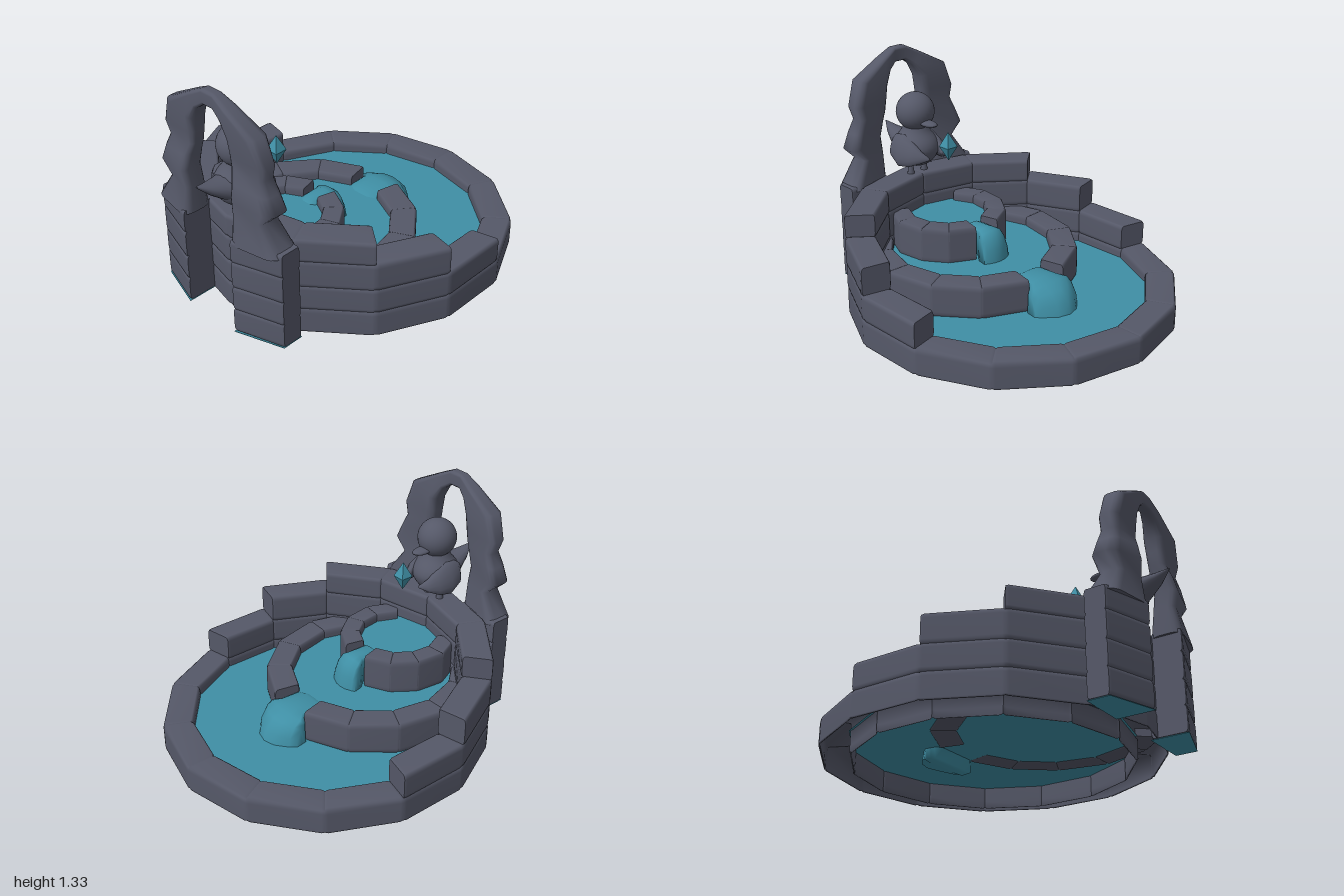
import * as THREE from 'three';

const slate = new THREE.MeshStandardMaterial({ color: 0x555868, side: THREE.DoubleSide });
const aqua = new THREE.MeshStandardMaterial({ color: 0x3f8fa5, side: THREE.DoubleSide });
const aquaFlat = new THREE.MeshStandardMaterial({ color: 0x3f8fa5, flatShading: true });

// Skin a row of closed loops of [x, y, z] points and, if asked, cap both ends.
function loft(loops, capped = true) {
  const n = loops[0].length, pos = loops.flat(2), idx = [];
  for (let i = 0; i < loops.length - 1; i++) {
    for (let j = 0; j < n; j++) {
      const a = i * n + j, b = i * n + (j + 1) % n;
      idx.push(a, b, b + n, a, b + n, a + n);
    }
  }
  for (const end of capped ? [0, loops.length - 1] : []) {
    const loop = loops[end], start = pos.length / 3;
    pos.push(...loop.flat());
    pos.push(...[0, 1, 2].map(k => loop.reduce((s, p) => s + p[k], 0) / n));
    for (let j = 0; j < n; j++) {
      const a = start + j, b = start + (j + 1) % n;
      idx.push(start + n, ...(end ? [a, b] : [b, a]));
    }
  }
  // turn the faces outwards if the volume comes out negative
  const v = i => new THREE.Vector3().fromArray(pos, i * 3);
  let volume = 0;
  for (let i = 0; i < idx.length; i += 3) volume += v(idx[i]).dot(v(idx[i + 1]).cross(v(idx[i + 2])));
  if (volume < 0) idx.reverse();
  const g = new THREE.BufferGeometry();
  g.setAttribute('position', new THREE.Float32BufferAttribute(pos, 3));
  g.setIndex(idx);
  g.computeVertexNormals();
  return g;
}

// Rounded rectangle in the unit square, cu and cv being the corner sizes.
function roundedSquare(cu, cv) {
  const pts = [];
  [[1, 1], [0, 1], [0, 0], [1, 0]].forEach(([u, v], q) => {
    for (let k = 0; k < 4; k++) {
      const t = (q + k / 3) * Math.PI / 2;
      pts.push([u + cu * (Math.cos(t) + (u ? -1 : 1)), v + cv * (Math.sin(t) + (v ? -1 : 1))]);
    }
  });
  return pts;
}

const lerp = THREE.MathUtils.lerp;
const solidSection = roundedSquare(0.09, 0.17);
// Channel open below, its inner lip (v below 0) reaching the ground
const hollowSection = [[1, 0], [1, 0.06], [1, 0.8], [0.975, 0.94], [0.91, 1], [0.09, 1], [0.025, 0.94], [0, 0.8],
  [0, 0.06], [0, -0.2], [0.04, -0.2], [0.04, 0.06], [0.04, 0.88], [0.96, 0.88], [0.96, 0.06], [0.96, 0]];

// Worn stone block on a footprint of four [x, z] corners.
function block(in0, in1, out0, out1, y0, y1, hollow = false) {
  const section = hollow ? hollowSection : solidSection;
  const loops = [[0, 0.95], [0.04, 1], [0.96, 1], [1, 0.95]].map(([t, s]) => section.map(([u, v]) => {
    const a = 0.5 + (u - 0.5) * s, b = 0.5 + (v - 0.5) * s;
    const at = k => lerp(lerp(in0[k], in1[k], t), lerp(out0[k], out1[k], t), a);
    return [at(0), lerp(y0, y1, b), at(1)];
  }));
  return loft(loops, !hollow);
}

export function createModel() {
  const model = new THREE.Group();
  const add = (name, geometry, material = slate, parent = model) => {
    const mesh = new THREE.Mesh(geometry, material);
    mesh.name = name;
    parent.add(mesh);
    return mesh;
  };

  // Curved course of blocks; angles in degrees are measured from -z.
  function course(name, cz, rIn, rOut, angles, y0, y1, hollow) {
    const group = new THREE.Group();
    group.name = name;
    model.add(group);
    const p = (deg, r) => {
      const a = THREE.MathUtils.degToRad(deg);
      return [r * Math.sin(a), cz - r * Math.cos(a)];
    };
    for (let i = 0; i < angles.length - 1; i++) {
      const [a, b] = [angles[i], angles[i + 1]];
      add('stoneBlock', block(p(a, rIn), p(b, rIn), p(a, rOut), p(b, rOut), y0, y1, hollow), slate, group);
    }
  }

  // Outer basin wall, stepping up towards the front; courses sink into each other
  const levels = [0.03, 0.18, 0.32, 0.475, 0.6];
  const sink = level => levels[level] - (level ? 0.012 : 0);
  [0, 3, 4, 5].forEach((first, level) => {
    const angles = [];
    for (let k = first; k <= 14 - first; k++) angles.push(k * 360 / 14);
    course('basinCourse', -0.085, 0.745, 0.915, angles, sink(level), levels[level + 1], level === 0);
  });

  // Inner pool walls, open at the spillway
  for (const side of [1, -1]) {
    course('middlePoolWall', 0.25, 0.455, 0.605, [12.6, 38, 64, 92, 120, 140].map(a => a * side), 0.115, 0.305);
    course('upperPoolWall', 0.45, 0.22, 0.338, [14, 41, 68, 97, 130].map(a => a * side), 0.24, 0.45);
  }

  // Pillars carrying the arch
  for (const s of [1, -1]) {
    const foot = [[0.175, 0.75], [0.452, 0.75], [0.175, 0.96], [0.452, 0.872]].map(([x, z]) => [x * s, z]);
    for (let i = 0; i < 4; i++) add('pillarBlock', block(...foot, sink(i), levels[i + 1]));
    const order = [0, 1, 3, 2].map(i => foot[i]);
    add('pillarUnderside', loft([0.028, 0.031].map(y => order.map(([x, z]) => [x, y, z]))), aqua);
  }

  // Water surfaces
  for (const [name, r, sides, y, z] of [
    ['lowerWater', 0.765, 14, 0.12, -0.085], ['middleWater', 0.49, 24, 0.25, 0.25], ['upperWater', 0.25, 20, 0.4, 0.45]]) {
    const disc = new THREE.CircleGeometry(r, sides).rotateX(-Math.PI / 2).rotateY(Math.PI / 2);
    add(name, disc.translate(0, y, z), aqua);
  }

  // Waterfalls: rows of z, crest height, half width, forward bulge, base height
  function waterfall(name, rows) {
    add(name, loft(rows.map(([z, y, w, bulge, base]) => [-1, -0.97, -0.8, -0.4, 0, 0.4, 0.8, 0.97, 1].map((u, i) => {
      const edge = i === 0 || i === 8;
      return [w * u, edge ? base : Math.max(base + 0.005, y - 0.03 * u ** 4), z - bulge * (1 - u * u)];
    }))), aqua);
  }
  waterfall('lowerWaterfall', [[-0.15, 0.24, 0.115, 0, 0.22], [-0.2, 0.268, 0.115, 0, 0.2], [-0.32, 0.275, 0.115, 0, 0.13],
    [-0.345, 0.262, 0.155, 0.04, 0.06], [-0.375, 0.238, 0.16, 0.07, 0.06], [-0.4, 0.18, 0.165, 0.1, 0.06],
    [-0.41, 0.08, 0.17, 0.115, 0.06]]);
  waterfall('upperWaterfall', [[0.27, 0.395, 0.065, 0, 0.37], [0.24, 0.42, 0.062, 0, 0.35], [0.13, 0.425, 0.062, 0, 0.26],
    [0.1, 0.415, 0.085, 0.015, 0.23], [0.075, 0.385, 0.09, 0.025, 0.23], [0.055, 0.325, 0.095, 0.03, 0.23],
    [0.045, 0.25, 0.095, 0.03, 0.23]]);

  // Rugged arch: outer x, y, inner x, y, centre z, half depth, twist
  const half = [
    [0.445, 0.575, 0.16, 0.575, 0.845, 0.09, 0.025], [0.34, 0.73, 0.162, 0.73, 0.85, 0.065, 0.02],
    [0.412, 0.8, 0.168, 0.83, 0.855, 0.07, 0.025], [0.375, 0.89, 0.155, 0.92, 0.848, 0.062, 0.015],
    [0.34, 0.965, 0.138, 0.98, 0.842, 0.05, 0.01], [0.362, 1.04, 0.13, 1.05, 0.845, 0.055, 0.005],
    [0.312, 1.185, 0.122, 1.13, 0.85, 0.06, 0], [0.13, 1.283, 0.085, 1.205, 0.86, 0.045, 0],
    [0.04, 1.328, 0.035, 1.242, 0.865, 0.032, 0]];
  const mirrored = half.slice().reverse().map(([a, b, c, ...rest]) => [-a, b, -c, ...rest]);
  const archSection = roundedSquare(0.2, 0.3);
  add('arch', loft([...half, ...mirrored].map(([ox, oy, ix, iy, zc, zh, twist]) => archSection.map(([u, v]) =>
    [lerp(ix, ox, u), lerp(iy, oy, u), zc + zh * (2 * v - 1) - twist * (2 * u - 1)]))));

  // Bird perched under the arch, looking over the pools
  const bird = new THREE.Group();
  bird.name = 'bird';
  model.add(bird);
  const profile = [[0, 0.64], [0.07, 0.655], [0.115, 0.695], [0.138, 0.75], [0.126, 0.8], [0.088, 0.85], [0.07, 0.885], [0.06, 0.92]];
  const curve = new THREE.SplineCurve(profile.map(p => new THREE.Vector2(...p)));
  add('body', new THREE.LatheGeometry(curve.getPoints(24), 28), slate, bird).position.z = 0.725;
  add('head', new THREE.SphereGeometry(0.112, 28, 20), slate, bird).position.set(0, 0.97, 0.72);
  const beak = add('beak', new THREE.SphereGeometry(1, 16, 10), slate, bird);
  beak.scale.set(0.04, 0.018, 0.07);
  beak.position.set(0, 0.918, 0.61);

  // Elliptical loop facing z, optionally turned about y and leaning sideways
  const ellipse = (x, y, z, w, h, heading = 0, lean = 0) => Array.from({ length: 14 }, (_, i) => {
    const t = i / 14 * Math.PI * 2, c = w * Math.cos(t), rise = h * Math.sin(t);
    return [x + c * Math.cos(heading) + lean * rise, y + rise, z + c * Math.sin(heading)];
  });
  add('tail', loft([[0.75, 0.78, 0.11, 0.08], [0.775, 0.86, 0.075, 0.055], [0.805, 0.93, 0.045, 0.03],
    [0.845, 0.995, 0.004, 0.004]].map(([y, z, w, h]) => ellipse(0, y, z, w, h))), slate, bird);
  for (const s of [1, -1]) {
    add('wing', loft([[0.09, 0.79, 0.82, 0.01, 0.02, 0], [0.112, 0.775, 0.78, 0.032, 0.065, 0],
      [0.114, 0.76, 0.71, 0.038, 0.09, 0], [0.106, 0.745, 0.64, 0.034, 0.068, 0.4], [0.085, 0.735, 0.585, 0.022, 0.035, 0.7],
      [0.05, 0.727, 0.545, 0.004, 0.006, 0.8]].map(([x, y, z, w, h, a]) => ellipse(s * x, y, z, w, h, -s * a, -s * 0.3))), slate, bird);
    add('leg', new THREE.CylinderGeometry(0.011, 0.022, 0.08, 10), slate, bird).position.set(s * 0.05, 0.635, 0.715);
  }

  // Floating crystal
  const crystal = new THREE.OctahedronGeometry(1).rotateY(Math.PI / 4).scale(0.052, 0.085, 0.052);
  add('crystal', crystal, aquaFlat).position.set(-0.015, 0.815, 0.455);

  return model;
}
